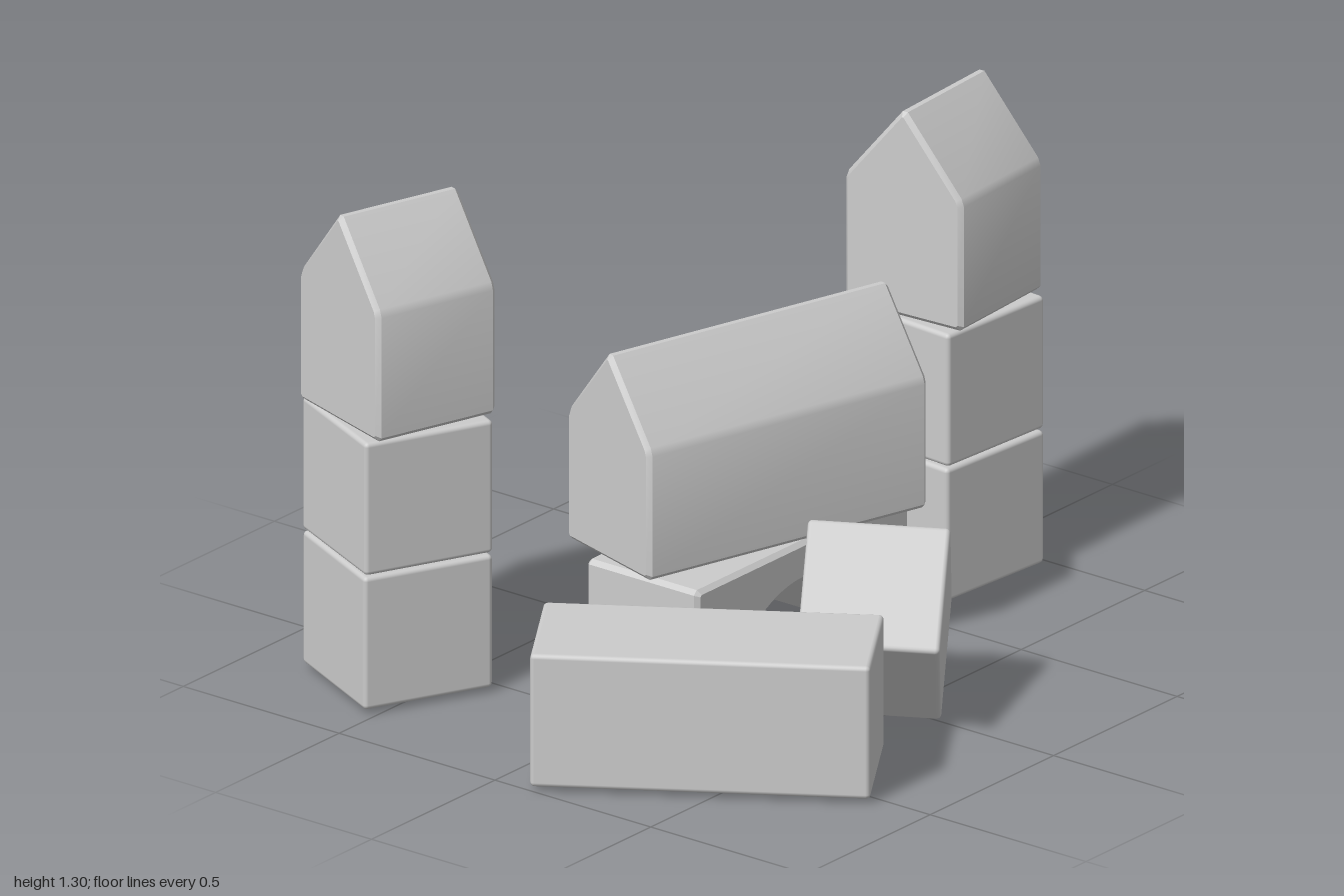
import * as THREE from 'three';
import { RoundedBoxGeometry } from 'three/addons/geometries/RoundedBoxGeometry.js';
import { toCreasedNormals } from 'three/addons/utils/BufferGeometryUtils.js';

const S = 0.36;      // width and height of the basic block
const LONG = 0.86;   // length of the long blocks
const BEVEL = 0.012;
const material = new THREE.MeshStandardMaterial({ color: 0xcccccc });

const boxGeometry = (w, h, d) => new RoundedBoxGeometry(w, h, d, 2, BEVEL);

// Cuts every sharp corner of a closed outline; shallow corners stay as they are
function chamfer(points, cut = BEVEL) {
  const out = [];
  points.forEach((p, i) => {
    const toPrev = points.at(i - 1).clone().sub(p).normalize();
    const toNext = points[(i + 1) % points.length].clone().sub(p).normalize();
    if (toPrev.dot(toNext) < -0.85) out.push(p);
    else out.push(p.clone().addScaledVector(toPrev, cut), p.clone().addScaledVector(toNext, cut));
  });
  return out;
}

// Extrudes an outline along z, centred, with bevels inside the given size
function prism(points, length) {
  const depth = length - 2 * BEVEL;
  const g = new THREE.ExtrudeGeometry(new THREE.Shape(chamfer(points)), {
    depth, bevelEnabled: true, bevelSize: BEVEL, bevelThickness: BEVEL,
    bevelOffset: -BEVEL, bevelSegments: 1,
  });
  g.translate(0, 0, -depth / 2);
  return toCreasedNormals(g, 0.5);
}

// Gabled block with its ridge along x, standing on y = 0
function roofGeometry(length) {
  const outline = [[-S / 2, 0], [S / 2, 0], [S / 2, 0.35], [0, 0.565], [-S / 2, 0.35]];
  return prism(outline.map(([x, y]) => new THREE.Vector2(x, y)), length).rotateY(Math.PI / 2);
}

// Bridge block: splayed feet running into a shallow arc
function archGeometry() {
  const pts = [[0.33, 0], [LONG / 2, 0], [LONG / 2, S], [-LONG / 2, S], [-LONG / 2, 0], [-0.33, 0]]
    .map(([x, y]) => new THREE.Vector2(x, y));
  const r = 0.304, cy = -0.05, half = 0.718;
  for (let i = 0; i <= 14; i++) {
    const a = -half + (2 * half * i) / 14;
    pts.push(new THREE.Vector2(r * Math.sin(a), cy + r * Math.cos(a)));
  }
  return prism(pts, S);
}

export function createModel() {
  const model = new THREE.Group();
  model.name = 'toyBlocks';

  function add(name, geometry, x, y, z, turn = 0, parent = model) {
    const mesh = new THREE.Mesh(geometry, material);
    mesh.name = name;
    mesh.position.set(x, y, z);
    mesh.rotation.y = turn;
    parent.add(mesh);
    return mesh;
  }

  // Towers: two cubes and a gabled block, each slightly turned
  function tower(name, x, z, turns) {
    const group = new THREE.Group();
    group.name = name;
    group.position.set(x, 0, z);
    add('lowerCube', boxGeometry(S, S, S), 0, 0.2, 0, turns[0], group);
    add('upperCube', boxGeometry(S, S, S), 0, 0.565, 0, turns[1], group);
    add('towerRoof', roofGeometry(S), 0, 0.75, 0, turns[2], group);
    model.add(group);
  }
  tower('leftTower', 0.798, 0.015, [-0.08, -0.07, 0.06]);
  tower('rightTower', -0.63, -0.605, [-0.45, -0.44, -0.315]);

  // Gate: arch with a long gabled block on top
  add('archBlock', archGeometry(), 0.007, 0.02, 0.013);
  add('gateRoof', roofGeometry(LONG), 0.007, 0.385, 0.012, -0.288);

  // Loose blocks in front
  add('longBlock', boxGeometry(LONG, S, S), -0.625, 0.2, 0.383, -0.999);

  const cube = add('tumbledCube', boxGeometry(S, S, S), -0.06, 0.262, 0.473);
  const a = new THREE.Vector3(0.2, -0.015, 0.29).normalize();
  const c = new THREE.Vector3().crossVectors(a, new THREE.Vector3(0.235, 0.23, -0.155)).normalize();
  const b = new THREE.Vector3().crossVectors(c, a);
  cube.quaternion.setFromRotationMatrix(new THREE.Matrix4().makeBasis(a, b, c));

  return model;
}
